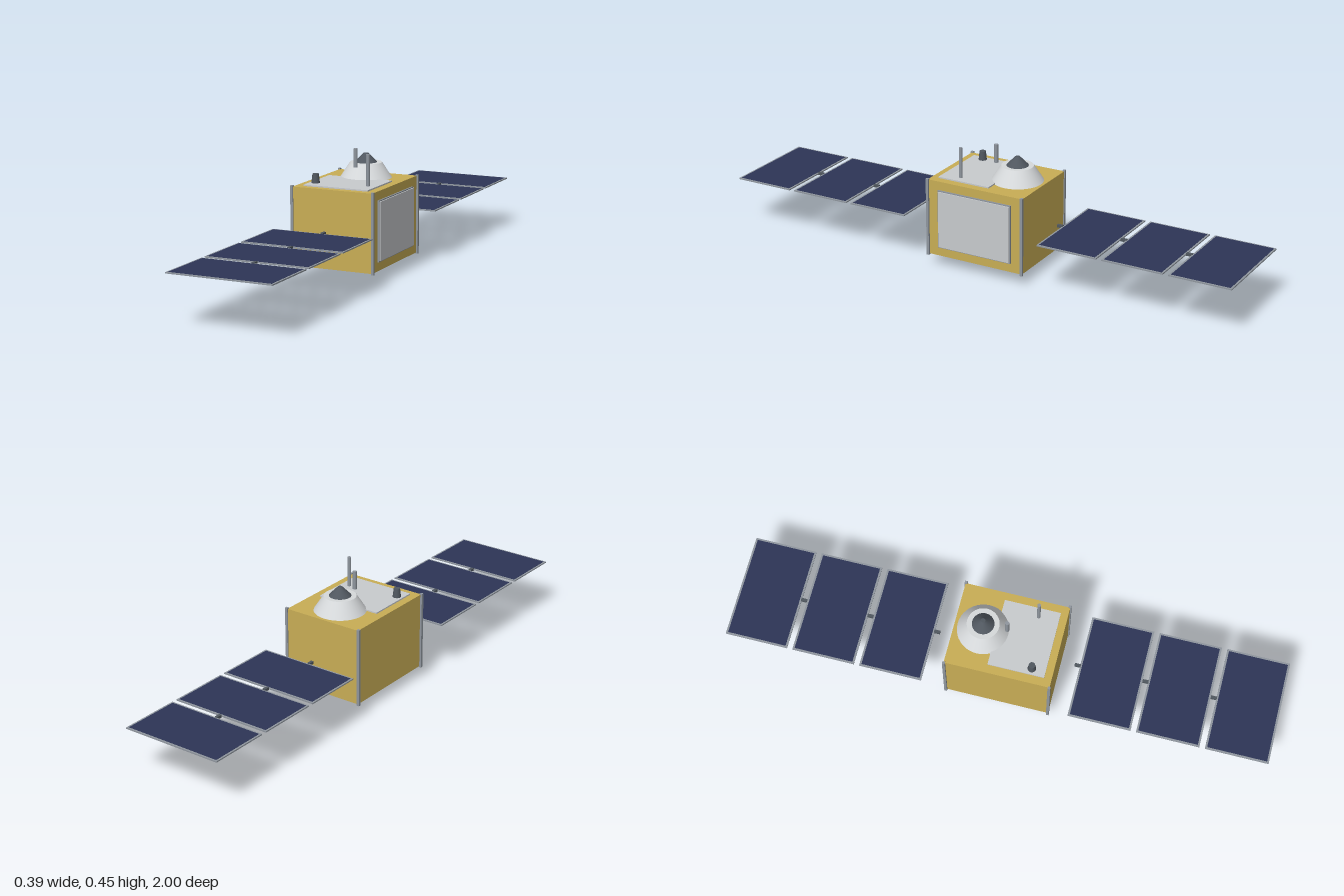
import * as THREE from 'three';

const material = (name, color) => {
  const m = new THREE.MeshStandardMaterial({ color });
  m.name = name;
  return m;
};

export function createModel() {
  const gold = material('gold foil', 0xc8ad55);
  const pale = material('pale grey panel', 0xc8cbce);
  const white = material('dish white', 0xd6d9db);
  const metal = material('grey metal', 0x8f969e);
  const dark = material('dark grey', 0x50575f);
  const blue = material('solar blue', 0x2d3556);
  const brown = material('engine brown', 0x463c3c);
  const black = material('nozzle dark', 0x30282a);

  const model = new THREE.Group();
  model.name = 'satellite';

  const add = (name, geometry, mat, x, y, z, parent = model) => {
    const mesh = new THREE.Mesh(geometry, mat);
    mesh.name = name;
    mesh.position.set(x, y, z);
    parent.add(mesh);
    return mesh;
  };
  // Box and round parts are placed by their lower and upper heights
  const box = (name, mat, w, d, y0, y1, x, z, parent) =>
    add(name, new THREE.BoxGeometry(w, y1 - y0, d), mat, x, (y0 + y1) / 2, z, parent);
  const round = (name, mat, rTop, rBottom, y0, y1, x, z, sides = 32) =>
    add(name, new THREE.CylinderGeometry(rTop, rBottom, y1 - y0, sides), mat, x, (y0 + y1) / 2, z);

  // Foil-covered body with corner posts
  box('body', gold, 0.31, 0.384, 0.043, 0.328, 0, 0);
  for (const x of [-1, 1]) {
    for (const z of [-1, 1]) box('cornerPost', metal, 0.01, 0.01, 0.039, 0.332, x * 0.157, z * 0.191);
  }

  // Side radiator and top deck plate
  box('radiatorBacking', metal, 0.007, 0.296, 0.076, 0.296, 0.1575, 0);
  box('radiator', pale, 0.01, 0.288, 0.08, 0.292, 0.16, 0);
  box('deckPlate', pale, 0.25, 0.205, 0.327, 0.333, 0, 0.0625);

  // Dish antenna with its feed cone
  round('dish', white, 0.058, 0.094, 0.328, 0.384, 0, -0.087, 40);
  round('dishFeed', dark, 0.008, 0.04, 0.384, 0.417, 0, -0.087);

  // Deck antennas and sensor
  round('shortAntenna', metal, 0.0075, 0.0075, 0.378, 0.446, 0, 0, 16);
  round('longAntenna', metal, 0.0065, 0.0065, 0.33, 0.446, 0.092, 0.092, 16);
  round('sensor', dark, 0.0115, 0.0155, 0.33, 0.366, -0.102, 0.115, 24);

  // Engine underneath
  box('engineMount', brown, 0.071, 0.071, 0.025, 0.044, 0, 0);
  round('nozzle', black, 0.027, 0.016, 0, 0.022, 0, 0);

  // Two solar wings of three hinged panels each
  for (const side of [1, -1]) {
    const wing = new THREE.Group();
    wing.name = side > 0 ? 'frontSolarWing' : 'backSolarWing';
    model.add(wing);
    for (let i = 0; i < 3; i++) {
      const start = 0.27 + i * 0.25;
      const z = side * (start + 0.115);
      box('panelFrame', metal, 0.386, 0.23, 0.183, 0.1875, 0, z, wing);
      box('solarCells', blue, 0.372, 0.216, 0.1825, 0.1882, 0, z, wing);
      box('panelRib', brown, 0.004, 0.216, 0.1815, 0.183, 0, z, wing);
      box('hinge', dark, 0.011, 0.022, 0.181, 0.191, 0, side * (start - 0.009), wing);
    }
  }
  return model;
}
